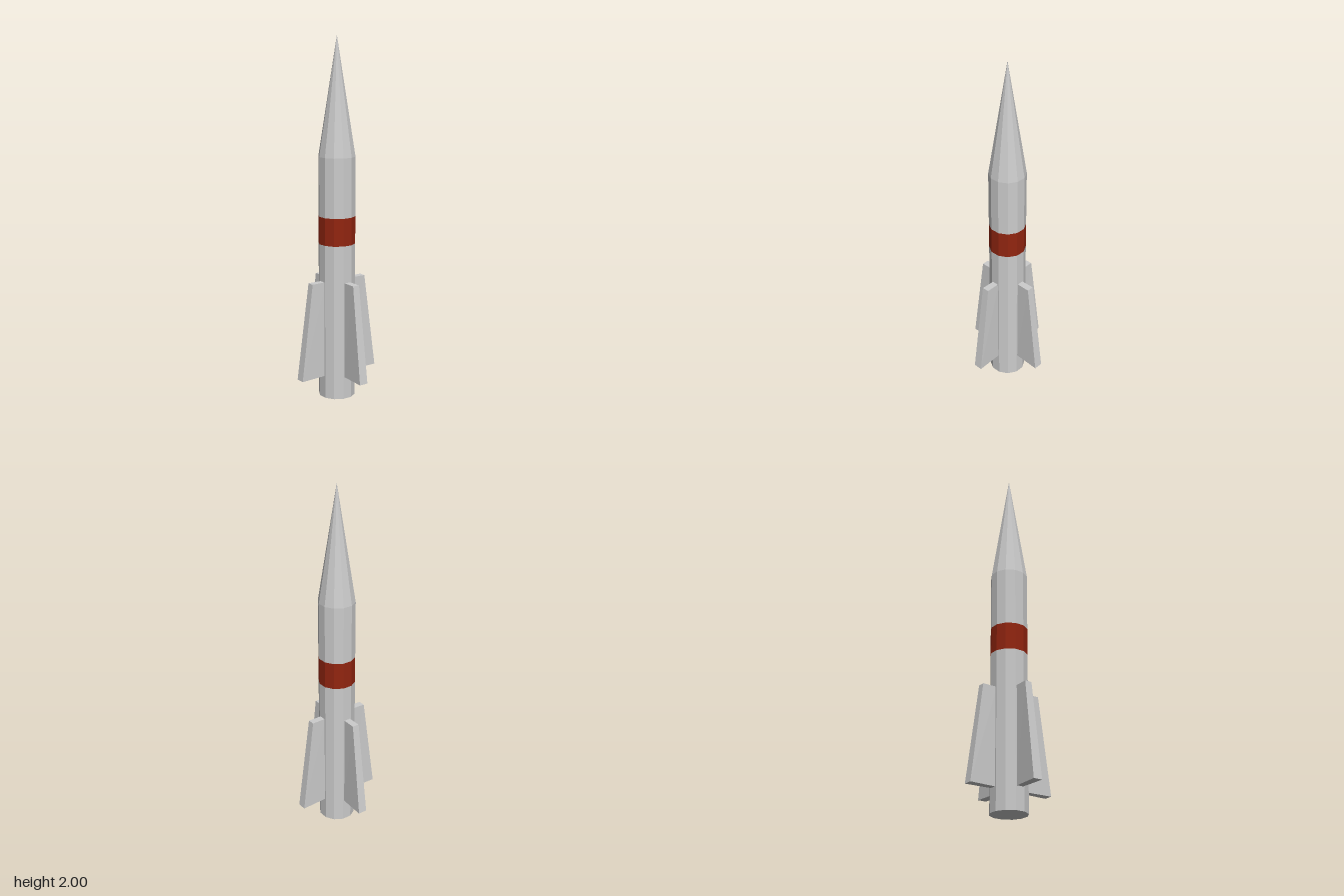
import * as THREE from 'three';

const SIDES = 12, RADIUS = 0.102;
const grey = new THREE.MeshStandardMaterial({ color: 0xcccccc, flatShading: true });
const red = new THREE.MeshStandardMaterial({ color: 0x922510, flatShading: true });

// Twelve-sided body section between two heights
function section(name, y0, y1, topRadius, material, open) {
  const geometry = new THREE.CylinderGeometry(topRadius, RADIUS, y1 - y0, SIDES, 1, open);
  geometry.translate(0, (y0 + y1) / 2, 0);
  const mesh = new THREE.Mesh(geometry, material);
  mesh.name = name;
  return mesh;
}

// Swept fin along +x: shorter at the top, thicker at the lower outer edge
function finGeometry() {
  const geometry = new THREE.BoxGeometry(1, 1, 1);
  const p = geometry.attributes.position;
  for (let i = 0; i < p.count; i++) {
    const outer = p.getX(i) > 0, top = p.getY(i) > 0;
    const thickness = !outer ? 0.037 : top ? 0.04 : 0.051;
    p.setXYZ(i,
      !outer ? 0.09 : top ? 0.177 : 0.25,
      top ? 0.668 : 0.127,
      Math.sign(p.getZ(i)) * thickness / 2);
  }
  geometry.computeVertexNormals();
  return geometry;
}

export function createModel() {
  const rocket = new THREE.Group();
  rocket.name = 'rocket';

  // Body, band and nose
  rocket.add(
    section('lowerBody', 0, 0.875, RADIUS, grey, false),
    section('band', 0.875, 1.028, RADIUS, red, true),
    section('upperBody', 1.028, 1.355, RADIUS, grey, true),
    section('noseCone', 1.355, 2, 0, grey, true)
  );

  // Four fins, each centred on a flat side of the body
  const geometry = finGeometry();
  for (let i = 0; i < 4; i++) {
    const fin = new THREE.Mesh(geometry, grey);
    fin.name = `fin${i + 1}`;
    fin.rotation.y = -Math.PI / 12 + i * Math.PI / 2;
    rocket.add(fin);
  }
  return rocket;
}
